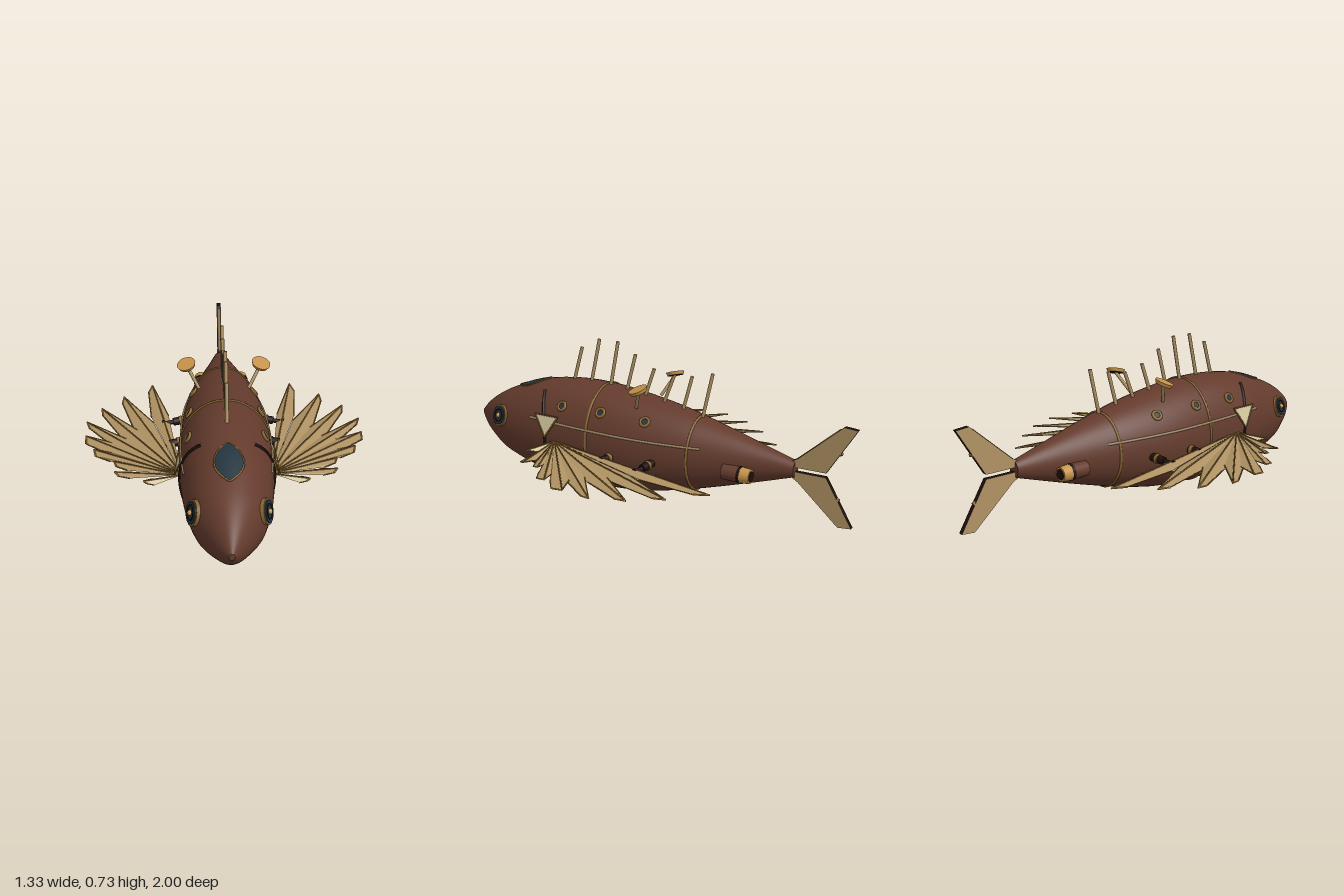
import * as THREE from 'three';

const mat = (name, color, side = THREE.FrontSide) =>
  Object.assign(new THREE.MeshStandardMaterial({ color, side }), { name });
const V = (x, y, z) => new THREE.Vector3(x, y, z);

// hull stations: z, top, bottom, half width
const STATIONS = [
  [1, 0.275, 0.245, 0.012], [0.95, 0.325, 0.185, 0.052], [0.87, 0.38, 0.13, 0.103], [0.78, 0.425, 0.085, 0.15],
  [0.6, 0.488, 0.034, 0.19], [0.4, 0.517, 0.011, 0.206], [0.2, 0.515, 0.007, 0.208],
  [0, 0.488, 0.023, 0.2], [-0.2, 0.45, 0.066, 0.167], [-0.4, 0.398, 0.122, 0.117],
  [-0.58, 0.347, 0.178, 0.07], [-0.735, 0.302, 0.228, 0.033],
];

// smooth hull section at z
function section(z) {
  const n = STATIONS.length;
  let i = 0;
  while (i < n - 2 && z < STATIONS[i + 1][0]) i++;
  const a = STATIONS[i], b = STATIONS[i + 1];
  const t = (z - a[0]) / (b[0] - a[0]);
  const slope = (j, k) => {
    const p = STATIONS[Math.max(j - 1, 0)], q = STATIONS[Math.min(j + 1, n - 1)];
    return (q[k] - p[k]) / (q[0] - p[0]);
  };
  const val = (k) => {
    const d = b[0] - a[0], t2 = t * t, t3 = t2 * t;
    return (2 * t3 - 3 * t2 + 1) * a[k] + (t3 - 2 * t2 + t) * d * slope(i, k)
      + (3 * t2 - 2 * t3) * b[k] + (t3 - t2) * d * slope(i + 1, k);
  };
  const top = val(1), bottom = val(2);
  return { c: (top + bottom) / 2, h: (top - bottom) / 2, w: val(3) };
}
const sideX = (z, y) => {
  const s = section(z);
  return s.w * Math.sqrt(Math.max(0, 1 - ((y - s.c) / s.h) ** 2));
};
const topY = (x, z) => {
  const s = section(z);
  return s.c + s.h * Math.sqrt(Math.max(0, 1 - (x / s.w) ** 2));
};
function hullNormal(x, y, z) {
  const f = (zz) => { const s = section(zz); return (x / s.w) ** 2 + ((y - s.c) / s.h) ** 2; };
  const s = section(z);
  return V(2 * x / s.w ** 2, 2 * (y - s.c) / s.h ** 2, (f(z + 0.005) - f(z - 0.005)) / 0.01).normalize();
}

export function createModel() {
  const root = new THREE.Group();
  root.name = 'fishSubmarine';
  const hull = mat('hullBrown', 0x643b2d);
  const membrane = mat('finTan', 0xb09364, THREE.DoubleSide);
  const brass = mat('brass', 0xc6924a);
  const trim = mat('agedBrass', 0x87642f);
  const bone = mat('boneTan', 0x9a8560);
  const glass = mat('darkGlass', 0x23343e);
  const dark = mat('darkIron', 0x1f0f0d);
  const cream = mat('cream', 0xd6c8a0, THREE.DoubleSide);

  const add = (name, geo, m, parent = root) => {
    const mesh = new THREE.Mesh(geo, m);
    mesh.name = name;
    parent.add(mesh);
    return mesh;
  };
  const rod = (name, a, b, r, m, parent = root, sides = 8, r2 = r) => {
    const d = b.clone().sub(a);
    const mesh = add(name, new THREE.CylinderGeometry(r2, r, d.length(), sides), m, parent);
    mesh.position.copy(a).addScaledVector(d, 0.5);
    mesh.quaternion.setFromUnitVectors(V(0, 1, 0), d.normalize());
    return mesh;
  };
  const tube = (name, pts, r, m, closed = false) =>
    add(name, new THREE.TubeGeometry(new THREE.CatmullRomCurve3(pts, closed), 80, r, 6, closed), m);
  const many = (n, fn) => Array.from({ length: n }, (_, i) => fn(i / (n - 1)));
  // group on the hull side, its +z pointing out of the skin
  const onHull = (name, s, z, y) => {
    const g = new THREE.Group(), x = s * sideX(z, y);
    g.name = name;
    g.position.set(x, y, z);
    g.lookAt(g.position.clone().add(hullNormal(x, y, z)));
    root.add(g);
    return g;
  };
  const disc = (name, r, depth, m, g) => add(name, new THREE.CylinderGeometry(r, r, depth, 24).rotateX(Math.PI / 2), m, g);

  // hull
  const body = new THREE.CylinderGeometry(1, 1, 1, 48, 56);
  const bp = body.attributes.position;
  for (let i = 0; i < bp.count; i++) {
    const t = bp.getY(i) + 0.5, z = -0.735 + 1.735 * (1 - (1 - t) ** 1.3);
    const s = section(z);
    bp.setXYZ(i, bp.getX(i) * s.w, s.c - bp.getZ(i) * s.h, z);
  }
  body.computeVertexNormals();
  add('hull', body, hull);

  // hoops around the hull
  for (const z of [0.225, -0.275]) {
    const s = section(z);
    tube('hullHoop', Array.from({ length: 40 }, (_, i) => {
      const a = i / 40 * Math.PI * 2;
      return V(Math.cos(a) * s.w, s.c + Math.sin(a) * s.h, z);
    }), 0.006, trim, true);
  }

  // roof window, draped over the hull
  const winHalf = (t) => 0.06 * Math.sin(Math.PI * t) ** 0.75;
  const win = new THREE.PlaneGeometry(1, 1, 10, 20);
  const wp = win.attributes.position;
  for (let i = 0; i < wp.count; i++) {
    const t = 0.5 - wp.getY(i), z = 0.56 + 0.19 * t;
    const x = wp.getX(i) * 2 * winHalf(Math.min(1, Math.max(0, t)));
    wp.setXYZ(i, x, topY(x, z) + 0.004, z);
  }
  win.computeVertexNormals();
  add('roofWindow', win, glass);
  const rim = (s) => (t) => { const x = s * winHalf(t), z = 0.56 + 0.19 * t; return V(x, topY(x, z) + 0.002, z); };
  tube('roofWindowRim', [...many(16, rim(1)).slice(0, -1), ...many(16, rim(-1)).reverse().slice(0, -1)], 0.004, trim, true);

  // back spines: base z, tip z, tip y
  const spines = [[0.42, 0.37, 0.675], [0.32, 0.27, 0.725], [0.21, 0.167, 0.725], [0.12, 0.072, 0.675],
    [0.02, -0.028, 0.62], [-0.08, -0.13, 0.595], [-0.18, -0.225, 0.61], [-0.28, -0.327, 0.635]];
  for (const [z0, z1, y1] of spines) rod('backSpine', V(0, topY(0, z0) - 0.01, z0), V(0, y1, z1), 0.0085, membrane);

  // tail fins with dark edges and raised ribs
  const tailOutline = [[0.72, 0.01], [0.72, 0.037], [0.75, 0.055], [0.94, 0.226], [1, 0.22], [0.875, 0.01]];
  for (const s of [1, -1]) {
    const shape = new THREE.Shape(tailOutline.map(([u, v]) => new THREE.Vector2(u, 0.265 + s * v)));
    const g = new THREE.ExtrudeGeometry(shape, { depth: 0.022, bevelEnabled: false });
    add('tailFin', g.translate(0, 0, -0.011).rotateY(Math.PI / 2), [membrane, dark]);
    for (const [u, v] of [[0.93, 0.205], [0.975, 0.205], [0.935, 0.11]])
      rod('tailRib', V(0, 0.265 + s * 0.025, -0.73), V(0, 0.265 + s * v, -u), 0.0125, trim, root, 6);
  }

  // wing feather tips: x, z
  const tips = [[0.36, -0.5], [0.5, -0.37], [0.6, -0.24], [0.66, -0.1], [0.65, 0.04],
    [0.6, 0.17], [0.5, 0.28], [0.49, 0.37], [0.36, 0.45]];

  for (const s of [1, -1]) {
    // wing: pleated feathers joined near the root, with clipped tips
    const wing = new THREE.Group();
    wing.name = s > 0 ? 'leftWing' : 'rightWing';
    root.add(wing);
    const base = V(0.195, 0.25, 0.41);
    tips.forEach(([tx, tz], i) => {
      const dx = tx - base.x, dz = tz - base.z;
      const drop = 0.026 * (base.z - tz);
      const at = (k, ang, y) => V(
        s * (base.x + k * (dx * Math.cos(ang) - dz * Math.sin(ang))), y - drop * k,
        base.z + k * (dx * Math.sin(ang) + dz * Math.cos(ang)));
      const r = V(s * base.x, base.y, base.z), tip = at(1, 0, 0.247);
      const spread = i === 8 ? 0.2 : i > 5 ? 0.12 : i ? 0.098 : 0.055, shoulder = i > 3 ? 0.76 : 0.64;
      const lead = at(shoulder, -spread, 0.235), trail = at(shoulder, i ? spread : 0.09, 0.235);
      const clip = at(0.93, i > 3 ? 0.08 : 0.035, 0.24);
      const geo = new THREE.BufferGeometry().setFromPoints([r, lead, tip, r, tip, clip, r, clip, trail]);
      geo.computeVertexNormals();
      add('feather', geo, i === 8 ? cream : membrane, wing);
      rod('featherRib', r, tip, 0.0035, trim, wing, 5);
      rod('featherTipEdge', clip, tip, 0.004, brass, wing, 4);
      rod('featherEdge', lead, tip, 0.003, trim, wing, 4);
      rod('featherEdge', trail, clip, 0.003, trim, wing, 4);
    });

    // wing hinge pistons
    for (const [z0, x1, z1] of [[-0.12, 0.295, -0.095], [0.08, 0.315, 0.12]]) {
      const a = V(s * 0.16, 0.234, z0), b = V(s * x1, 0.22, z1);
      rod('wingPiston', a, b, 0.011, dark, wing, 12);
      rod('pistonSleeve', a, a.clone().lerp(b, 0.62), 0.019, dark, wing, 14);
      rod('pistonCollar', a.clone().lerp(b, 0.3), a.clone().lerp(b, 0.4), 0.023, trim, wing, 14);
      rod('pistonHead', a.clone().lerp(b, 0.9), b, 0.018, dark, wing, 12);
    }

    // eye
    const eye = onHull('eye', s, 0.775, 0.308);
    disc('eyeRim', 0.054, 0.018, trim, eye);
    disc('eyeGlass', 0.046, 0.028, glass, eye);
    add('eyeInnerRing', new THREE.TorusGeometry(0.03, 0.004, 6, 24), dark, eye).position.z = 0.013;
    add('eyePupil', new THREE.SphereGeometry(0.012, 16, 10), brass, eye).position.z = 0.014;

    // portholes
    for (const [z, y] of [[0.38, 0.42], [0.165, 0.42], [-0.06, 0.407]]) {
      const p = onHull('porthole', s, z, y);
      add('portholeRing', new THREE.TorusGeometry(0.02, 0.007, 8, 20), trim, p).position.z = 0.004;
      disc('portholeGlass', 0.018, 0.012, glass, p);
    }

    // gill slit and side rail
    tube('gill', many(18, (t) => {
      const y = 0.07 + 0.395 * t, z = 0.46 + 0.06 * ((y - 0.268) / 0.198) ** 2;
      return V(s * sideX(z, y), y, z);
    }), 0.008, dark);
    tube('sideRail', many(16, (t) => {
      const z = 0.56 - 0.89 * t, y = 0.345 - 0.025 * t;
      return V(s * sideX(z, y), y, z);
    }), 0.006, bone);

    // triangular cheek plate
    const tri = [V(s * 0.2, 0.375, 0.515), V(s * 0.204, 0.375, 0.38), V(s * 0.226, 0.274, 0.445)];
    const triGeo = new THREE.BufferGeometry().setFromPoints(tri);
    triGeo.computeVertexNormals();
    add('cheekPlate', triGeo, cream);
    tri.forEach((p, i) => rod('cheekPlateEdge', p, tri[(i + 1) % 3], 0.004, trim, root, 6));

    // pale lobed patch on the lower hull
    const patch = onHull('hullPatch', s, -0.02, 0.165);
    for (const [x, y, r] of [[-0.026, -0.012, 0.016], [0.026, -0.012, 0.016], [0, 0.008, 0.021],
      [-0.012, -0.008, 0.018], [0.012, -0.008, 0.018]])
      disc('patchLobe', r, 0.009, cream, patch).position.set(x, y, 0.004);

    // thruster
    const px = s * 0.106, py = 0.232;
    rod('thruster', V(px, py, -0.44), V(px, py, -0.535), 0.035, hull, root, 20);
    rod('thrusterBand', V(px, py, -0.515), V(px, py, -0.528), 0.037, dark, root, 20);
    rod('thrusterNozzle', V(px, py, -0.528), V(px, py, -0.572), 0.036, brass, root, 20, 0.032);
    rod('thrusterOutlet', V(px, py, -0.57), V(px, py, -0.575), 0.024, dark, root, 20);

    // dish on a post, dark underneath
    const n = V(s * 0.23, 0.9, 0.28).normalize(), top = V(s * 0.172, 0.56, -0.045);
    rod('dishPost', V(s * 0.115, 0.46, 0), top.clone().addScaledVector(n, -0.006), 0.008, membrane);
    rod('dish', top.clone().addScaledVector(n, -0.008), top.clone().addScaledVector(n, 0.008),
      0.038, [brass, brass, dark], root, 24, 0.044);
  }
  return root;
}
